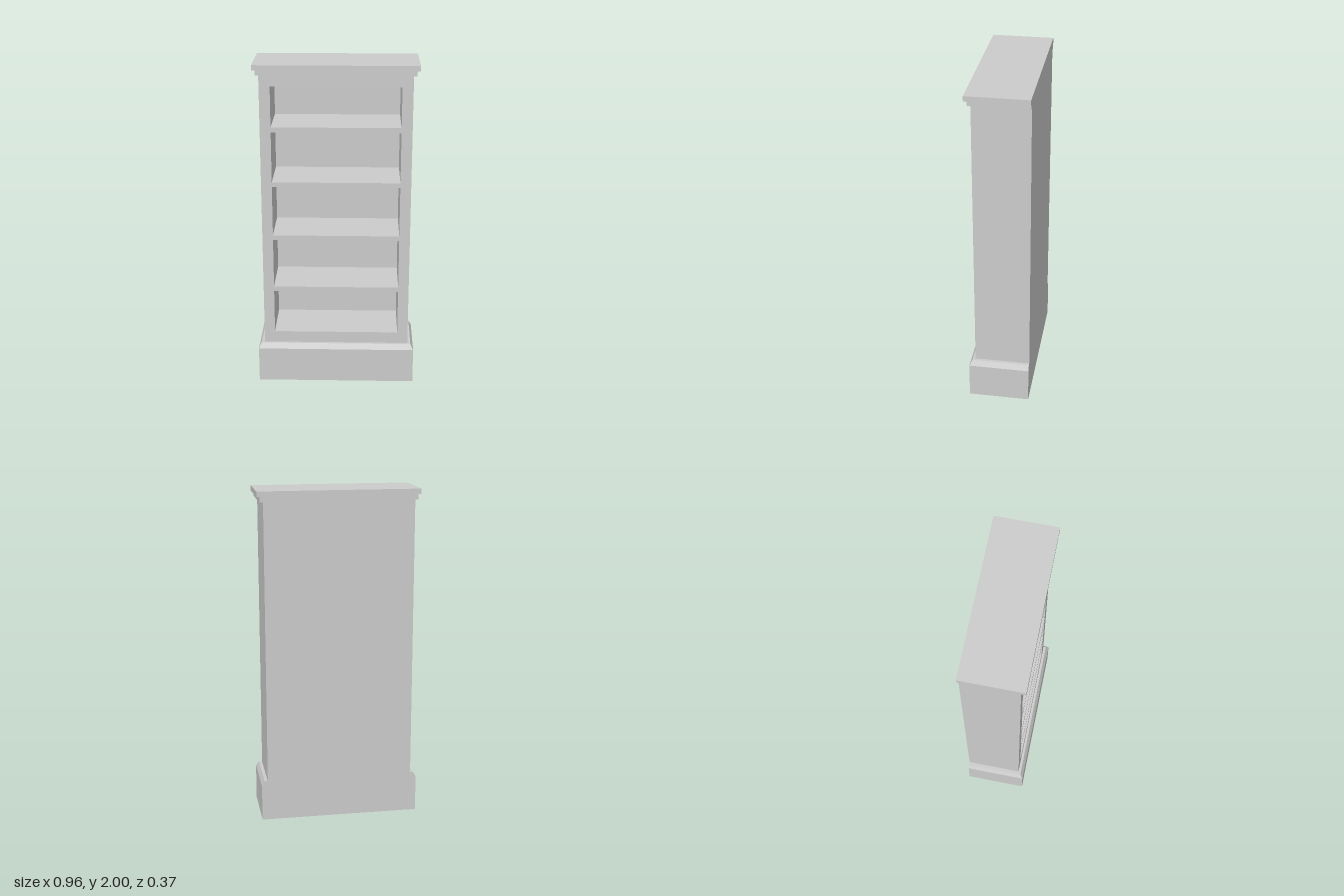
import * as THREE from 'three';

const BACK = -0.183; // every part is flush at the rear

export function createModel() {
  const group = new THREE.Group();
  group.name = 'bookcase';
  const material = new THREE.MeshStandardMaterial({ color: 0xcccccc, flatShading: true });

  const add = (name, geometry) => {
    const mesh = new THREE.Mesh(geometry, material);
    mesh.name = name;
    group.add(mesh);
    return mesh;
  };

  // Block flush with the back; its top edge may be drawn in on the front and sides
  const block = (name, halfWidth, front, y0, y1, inset = 0) => {
    const g = new THREE.BoxGeometry(halfWidth * 2, y1 - y0, front - BACK);
    g.translate(0, (y0 + y1) / 2, (front + BACK) / 2);
    const p = g.attributes.position;
    for (let i = 0; i < p.count; i++) {
      if (p.getY(i) < (y0 + y1) / 2) continue;
      p.setX(i, p.getX(i) - Math.sign(p.getX(i)) * inset);
      if (p.getZ(i) > 0) p.setZ(i, p.getZ(i) - inset);
    }
    g.computeVertexNormals();
    return add(name, g);
  };

  // Plinth with chamfered top
  block('plinth', 0.48, 0.183, 0, 0.217);
  block('plinthChamfer', 0.48, 0.183, 0.217, 0.25, 0.017);

  // Stepped cornice
  block('corniceLower', 0.463, 0.167, 1.937, 1.969);
  block('corniceTop', 0.48, 0.183, 1.969, 2);

  // Carcass: sides, rails and shelves in one piece, with a hole per compartment
  const rectangle = (path, x, y0, y1) => path
    .moveTo(-x, y0).lineTo(x, y0).lineTo(x, y1).lineTo(-x, y1).closePath();
  const outline = rectangle(new THREE.Shape(), 0.444, 0.25, 1.937);
  const compartments = [[0.322, 0.595], [0.625, 0.93], [0.96, 1.265], [1.295, 1.6], [1.63, 1.87]];
  for (const [y0, y1] of compartments) {
    outline.holes.push(rectangle(new THREE.Path(), 0.38, y0, y1));
  }
  const panelFront = -0.168;
  const carcass = new THREE.ExtrudeGeometry(outline, { depth: 0.15 - panelFront, bevelEnabled: false });
  add('carcassWithShelves', carcass.translate(0, 0, panelFront));

  // Back panel
  block('backPanel', 0.444, panelFront, 0.25, 1.937);

  return group;
}
